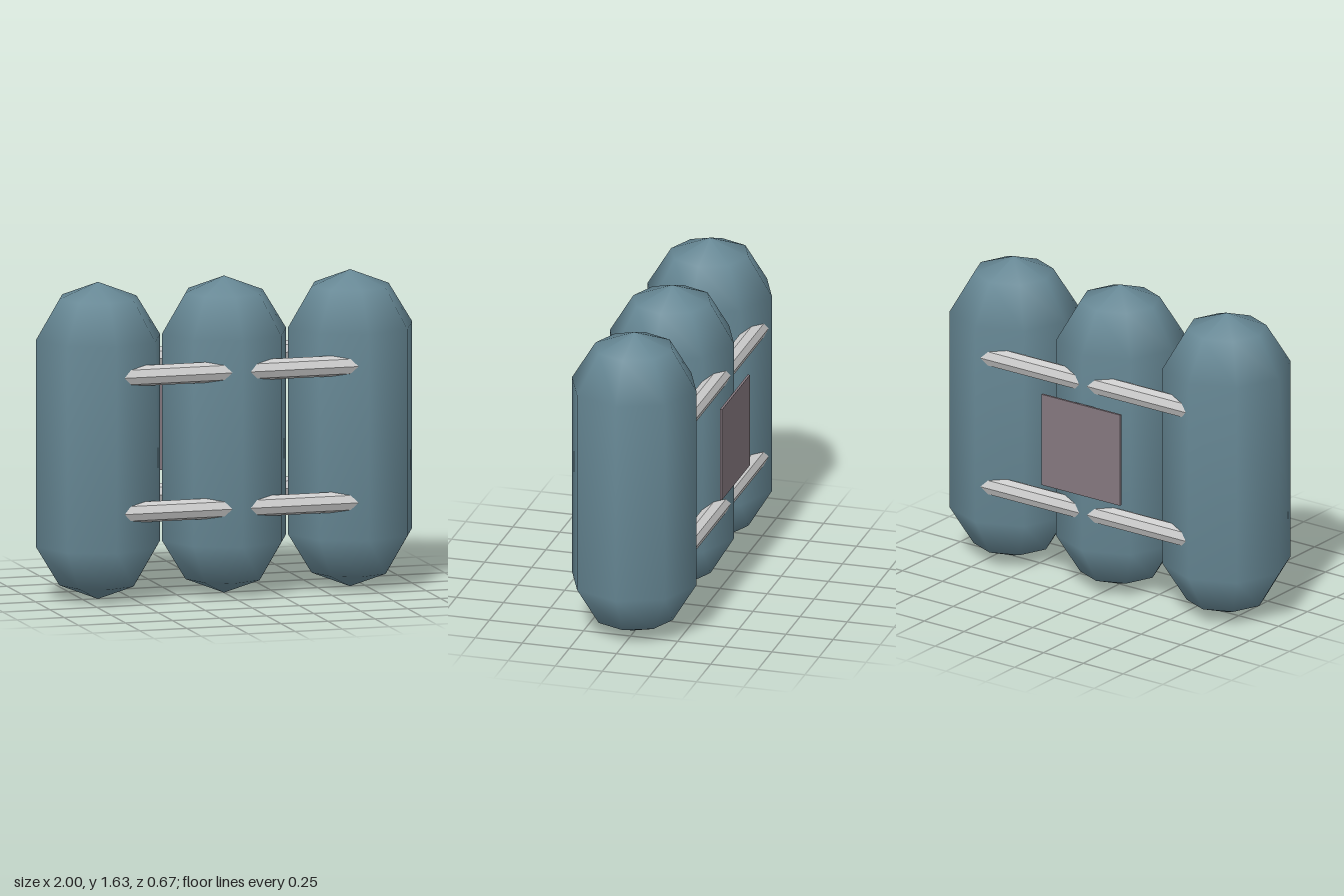
import * as THREE from 'three';

export function createModel() {
  const group = new THREE.Group();
  const blue = new THREE.MeshStandardMaterial({ color: 0x668794 });
  const grey = new THREE.MeshStandardMaterial({ color: 0xcccccc, flatShading: true });
  const mauve = new THREE.MeshStandardMaterial({ color: 0x85787f });
  const centreZ = 0.005;

  const add = (name, geometry, material, x, y, z) => {
    const mesh = new THREE.Mesh(geometry, material);
    mesh.name = name;
    mesh.position.set(x, y, z);
    group.add(mesh);
    return mesh;
  };

  // Three eight-sided tanks with tapered, rounded ends
  const profile = [[0, 0], [0.205, 0.08], [0.33, 0.285], [0.33, 1.35], [0.205, 1.555], [0, 1.635]]
    .map(([r, y]) => new THREE.Vector2(r, y));
  const tankGeometry = new THREE.LatheGeometry(profile, 8);
  [['rightTank', -0.67], ['middleTank', 0], ['leftTank', 0.67]].forEach(([name, x]) =>
    add(name, tankGeometry, blue, x, 0, centreZ));

  // Horizontal bars running through the tanks, front and back, at two heights
  const barGeometry = new THREE.CylinderGeometry(0.053, 0.053, 1.34, 8);
  barGeometry.rotateZ(Math.PI / 2);
  for (const [level, y] of [['lower', 0.482], ['upper', 1.185]]) {
    add(level + 'FrontBar', barGeometry, grey, 0, y, centreZ + 0.257);
    add(level + 'BackBar', barGeometry, grey, 0, y, centreZ - 0.267);
  }

  // Thin square plate on the back of the middle tank
  add('backPlate', new THREE.BoxGeometry(0.495, 0.495, 0.012), mauve, 0, 0.838, -0.329);

  return group;
}
